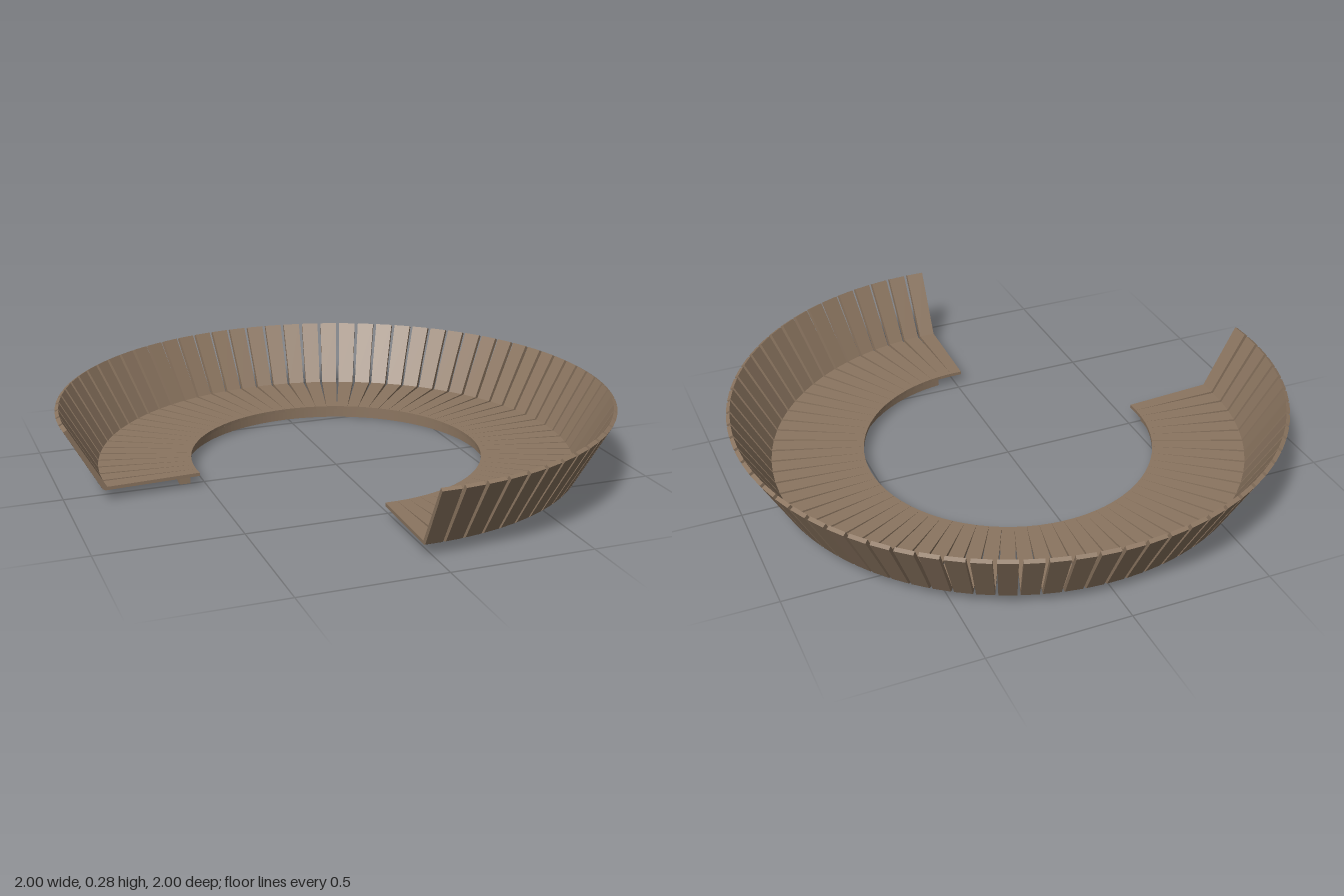
import * as THREE from 'three';

const PER_CIRCLE = 78;
const SLATS = 60;
const STEP = (Math.PI * 2) / PER_CIRCLE;

// Extrude an outline of [radius, y] points across its width, widening with radius
function slatGeometry(points) {
  const shape = new THREE.Shape(points.map(([r, y]) => new THREE.Vector2(r, y)));
  const geo = new THREE.ExtrudeGeometry(shape, { depth: 2, bevelEnabled: false });
  geo.translate(0, 0, -1);
  const p = geo.attributes.position;
  for (let i = 0; i < p.count; i++) {
    const halfWidth = 0.0212 + (p.getX(i) - 0.53) * 0.0255;
    p.setZ(i, p.getZ(i) * halfWidth);
  }
  geo.rotateY(-Math.PI / 2); // radius now runs along +z
  geo.computeVertexNormals();
  return geo;
}

export function createModel() {
  const model = new THREE.Group();
  model.name = 'curvedBench';
  const wood = new THREE.MeshStandardMaterial({ color: 0x8b7560 });
  wood.name = 'weathered wood';

  const seatGeo = slatGeometry([[0.527, 0.04], [0.865, 0.04], [0.865, 0.052], [0.527, 0.052]]);
  const backGeo = slatGeometry([[0.865, 0.04], [0.876, 0.046], [0.998, 0.268], [0.985, 0.275], [0.859, 0.052]]);

  // Slats fan round from the front, through the left and back, to the right
  for (let i = 0; i < SLATS; i++) {
    const slat = new THREE.Group();
    slat.name = 'slat' + i;
    const seat = new THREE.Mesh(seatGeo, wood);
    seat.name = 'seatSlat';
    const back = new THREE.Mesh(backGeo, wood);
    back.name = 'backSlat';
    slat.add(seat, back);
    slat.rotation.y = i * STEP;
    model.add(slat);
  }

  // Curved support rail under the inner edge of the seat
  const start = -Math.PI / 2 + 0.122;
  const end = Math.PI;
  const arc = new THREE.Shape();
  arc.absarc(0, 0, 0.588, start, end, false);
  arc.absarc(0, 0, 0.55, end, start, true);
  const railGeo = new THREE.ExtrudeGeometry(arc, { depth: 0.04, bevelEnabled: false, curveSegments: 72 });
  railGeo.rotateX(-Math.PI / 2);
  const rail = new THREE.Mesh(railGeo, wood);
  rail.name = 'supportRail';
  model.add(rail);

  return model;
}
